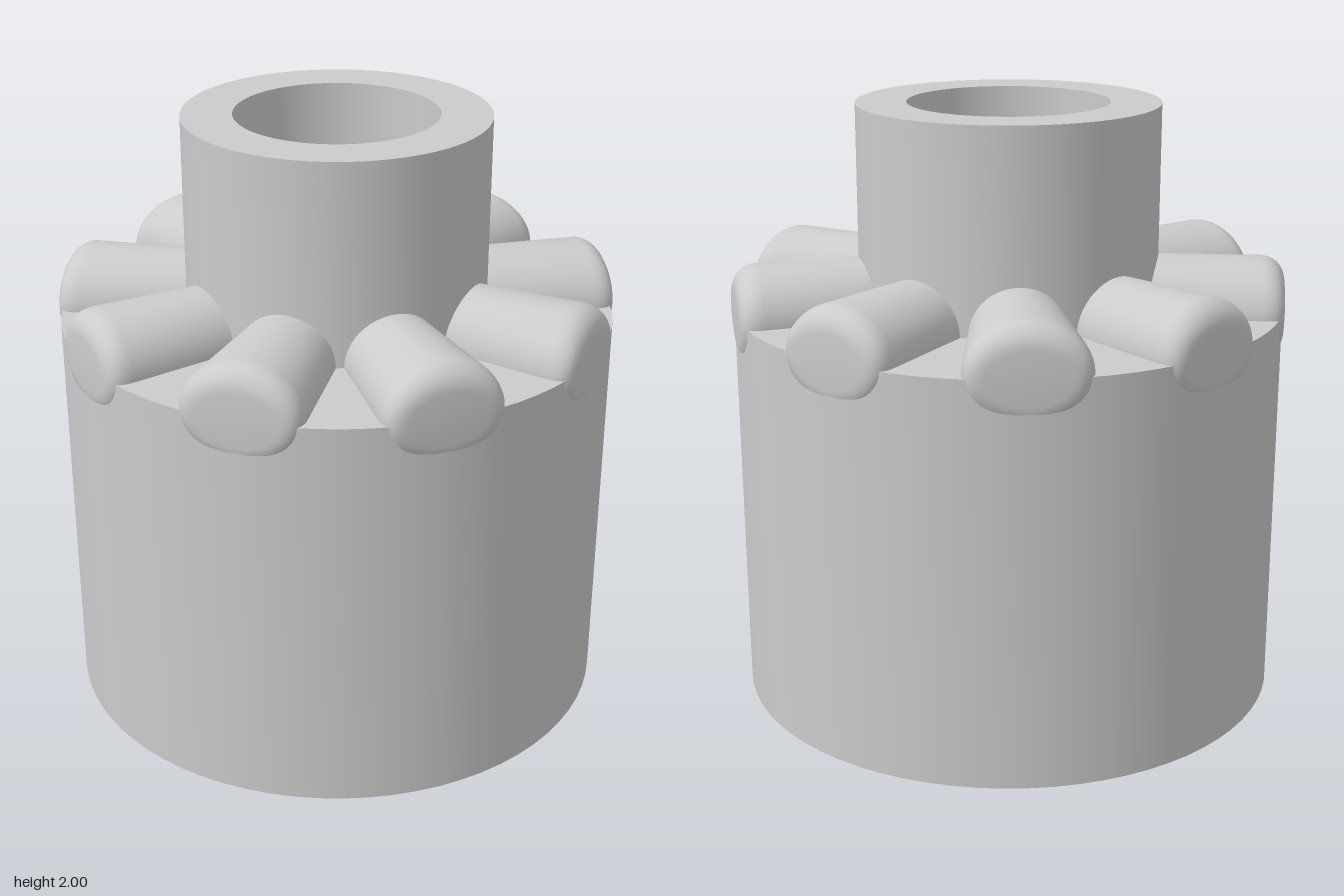
import * as THREE from 'three';
import { toCreasedNormals } from 'three/addons/utils/BufferGeometryUtils.js';

const BORE = 0.333, NECK = 0.5, BODY = 0.915;
const SHOULDER = 1.333, HEIGHT = 2;
const ROLLERS = 9, ROLLER_IN = 0.41, ROLLER_OUT = 0.917;
const HALF_HEIGHT = 0.167, ROUNDING = 0.08;

// Tapered oval roller lying along +x, with a rounded outer rim
function rollerGeometry() {
  const profile = [new THREE.Vector2(0, ROLLER_IN), new THREE.Vector2(1, ROLLER_IN)];
  const steps = 8;
  for (let k = 0; k <= steps; k++) {
    const a = (k / steps) * Math.PI / 2;
    const inset = ROUNDING * (1 - Math.cos(a));
    profile.push(new THREE.Vector2(1 - inset / HALF_HEIGHT, ROLLER_OUT - ROUNDING * (1 - Math.sin(a))));
  }
  profile.push(new THREE.Vector2(0, ROLLER_OUT));
  const geometry = new THREE.LatheGeometry(profile, 48);
  const pos = geometry.attributes.position;
  for (let i = 0; i < pos.count; i++) {
    const x = pos.getX(i), y = pos.getY(i), z = pos.getZ(i);
    // Constant height, width growing outwards
    const halfWidth = 0.11 + 0.103 * y;
    const s = Math.hypot(x, z);
    pos.setXYZ(i, y, z * HALF_HEIGHT, x * (halfWidth + 0.104 * (1 - s)));
  }
  return toCreasedNormals(geometry, Math.PI / 5);
}

export function createModel() {
  const group = new THREE.Group();
  group.name = 'rollerHub';
  const material = new THREE.MeshStandardMaterial({ color: 0xcccccc });

  // Stepped sleeve with a through bore
  const section = [
    [BORE, 0], [BODY, 0], [BODY, SHOULDER], [NECK, SHOULDER],
    [NECK, HEIGHT], [BORE, HEIGHT], [BORE, 0],
  ].map(([r, y]) => new THREE.Vector2(r, y));
  const sleeve = new THREE.Mesh(toCreasedNormals(new THREE.LatheGeometry(section, 72), Math.PI / 5), material);
  sleeve.name = 'sleeve';
  group.add(sleeve);

  // Ring of rollers half sunk into the shoulder
  const geometry = rollerGeometry();
  for (let i = 0; i < ROLLERS; i++) {
    const roller = new THREE.Mesh(geometry, material);
    roller.name = `roller${i + 1}`;
    roller.position.y = SHOULDER;
    roller.rotation.y = (i / ROLLERS) * Math.PI * 2;
    group.add(roller);
  }
  return group;
}
